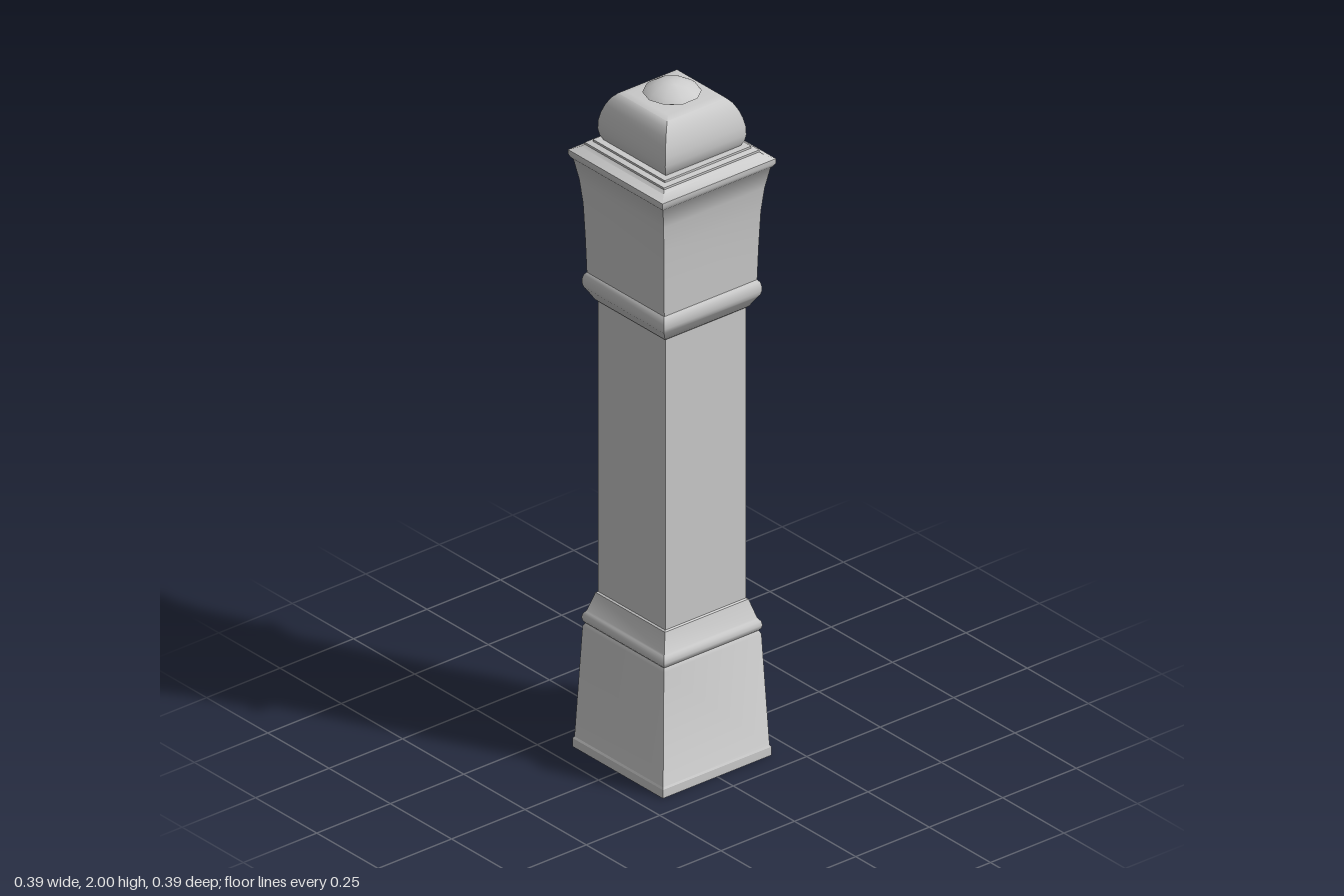
import * as THREE from 'three';
import { toCreasedNormals } from 'three/addons/utils/BufferGeometryUtils.js';

const material = new THREE.MeshStandardMaterial({ color: 0xcccccc, side: THREE.DoubleSide });

// Square section swept along a profile of [half width, height] pairs, bottom to top
function squarePart(name, profile) {
  const points = profile.map(([r, y]) => new THREE.Vector2(r * Math.SQRT2, y));
  const geometry = new THREE.LatheGeometry(points, 4).rotateY(Math.PI / 4);
  const mesh = new THREE.Mesh(toCreasedNormals(geometry, 0.65), material);
  mesh.name = name;
  return mesh;
}

export function createModel() {
  const post = new THREE.Group();
  post.name = 'post';

  // Hollow tapered plinth, open underneath
  post.add(squarePart('plinth', [[0.185, 0], [0.185, 0.025], [0.181, 0.03], [0.166, 0.36], [0.161, 0.37]]));

  // Rounded bead and sloping collar above the plinth
  post.add(squarePart('baseMoulding', [
    [0.161, 0.37], [0.166, 0.376], [0.168, 0.386], [0.166, 0.397], [0.161, 0.404],
    [0.158, 0.408], [0.142, 0.462], [0.137, 0.465],
  ]));

  post.add(squarePart('shaft', [[0.137, 0.465], [0.137, 1.33]]));

  // Bead under the capital
  post.add(squarePart('neckMoulding', [
    [0.137, 1.33], [0.143, 1.335], [0.158, 1.362], [0.164, 1.37], [0.167, 1.382],
    [0.167, 1.395], [0.164, 1.408], [0.158, 1.415],
  ]));

  // Flaring capital with a stepped ledge
  post.add(squarePart('capital', [
    [0.158, 1.415], [0.161, 1.52], [0.165, 1.62], [0.172, 1.69], [0.183, 1.75],
    [0.188, 1.755], [0.193, 1.765], [0.193, 1.778], [0.17, 1.789],
    [0.162, 1.796], [0.162, 1.802], [0.147, 1.806], [0.147, 1.812], [0, 1.812],
  ]));

  // Domed square cap with a flat top
  post.add(squarePart('cap', [
    [0.126, 1.81], [0.134, 1.825], [0.138, 1.845], [0.137, 1.87], [0.132, 1.895],
    [0.124, 1.918], [0.113, 1.939], [0.1, 1.953], [0.082, 1.957], [0, 1.957],
  ]));

  // Ten-sided button on top
  const profile = [[0.058, 1.955], [0.078, 1.966], [0.066, 1.977], [0.046, 1.989], [0.024, 1.997], [0, 2]]
    .map(([r, y]) => new THREE.Vector2(r, y));
  const button = new THREE.Mesh(toCreasedNormals(new THREE.LatheGeometry(profile, 10), 0.8), material);
  button.name = 'button';
  post.add(button);

  return post;
}
